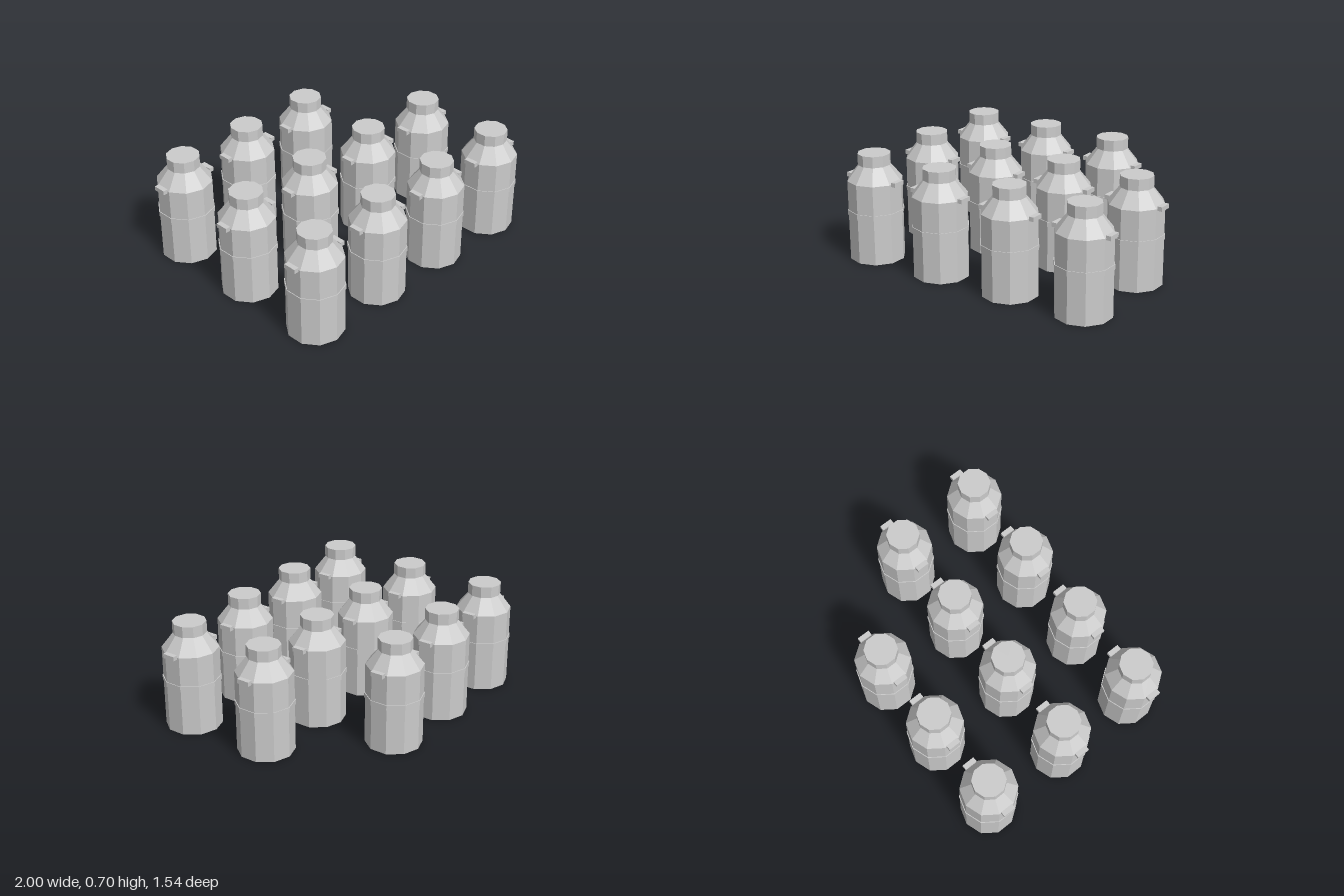
import * as THREE from 'three';

const SIDES = 10;
const material = new THREE.MeshStandardMaterial({ color: 0xcccccc, flatShading: true });

// Ten-sided drum between two heights, corners pointing to the front and back
function drum(name, rBottom, rTop, y0, y1) {
  const geometry = new THREE.CylinderGeometry(rTop, rBottom, y1 - y0, SIDES);
  geometry.translate(0, (y0 + y1) / 2, 0);
  const mesh = new THREE.Mesh(geometry, material);
  mesh.name = name;
  return mesh;
}

function createCan() {
  const can = new THREE.Group();
  can.name = 'milkCan';
  can.add(
    drum('body', 0.18, 0.18, 0, 0.53),
    drum('band', 0.185, 0.185, 0.304, 0.336),
    drum('shoulder', 0.18, 0.1, 0.53, 0.632),
    drum('lid', 0.107, 0.107, 0.632, 0.705),
  );

  // Small grips on both sides of the shoulder
  for (const side of [-1, 1]) {
    const handle = new THREE.Mesh(new THREE.BoxGeometry(0.033, 0.028, 0.084), material);
    handle.name = side > 0 ? 'leftHandle' : 'rightHandle';
    handle.position.set(side * 0.186, 0.531, 0);
    can.add(handle);
  }
  return can;
}

export function createModel() {
  const model = new THREE.Group();
  model.name = 'milkCans';

  // Three rows of four, with the back left corner left empty
  for (let row = 0; row < 3; row++) {
    for (let col = 0; col < 4; col++) {
      if (row === 0 && col === 3) continue;
      const can = createCan();
      can.position.set((col - 1.5) * 0.5315, 0, (row - 1) * 0.583);
      model.add(can);
    }
  }
  return model;
}
